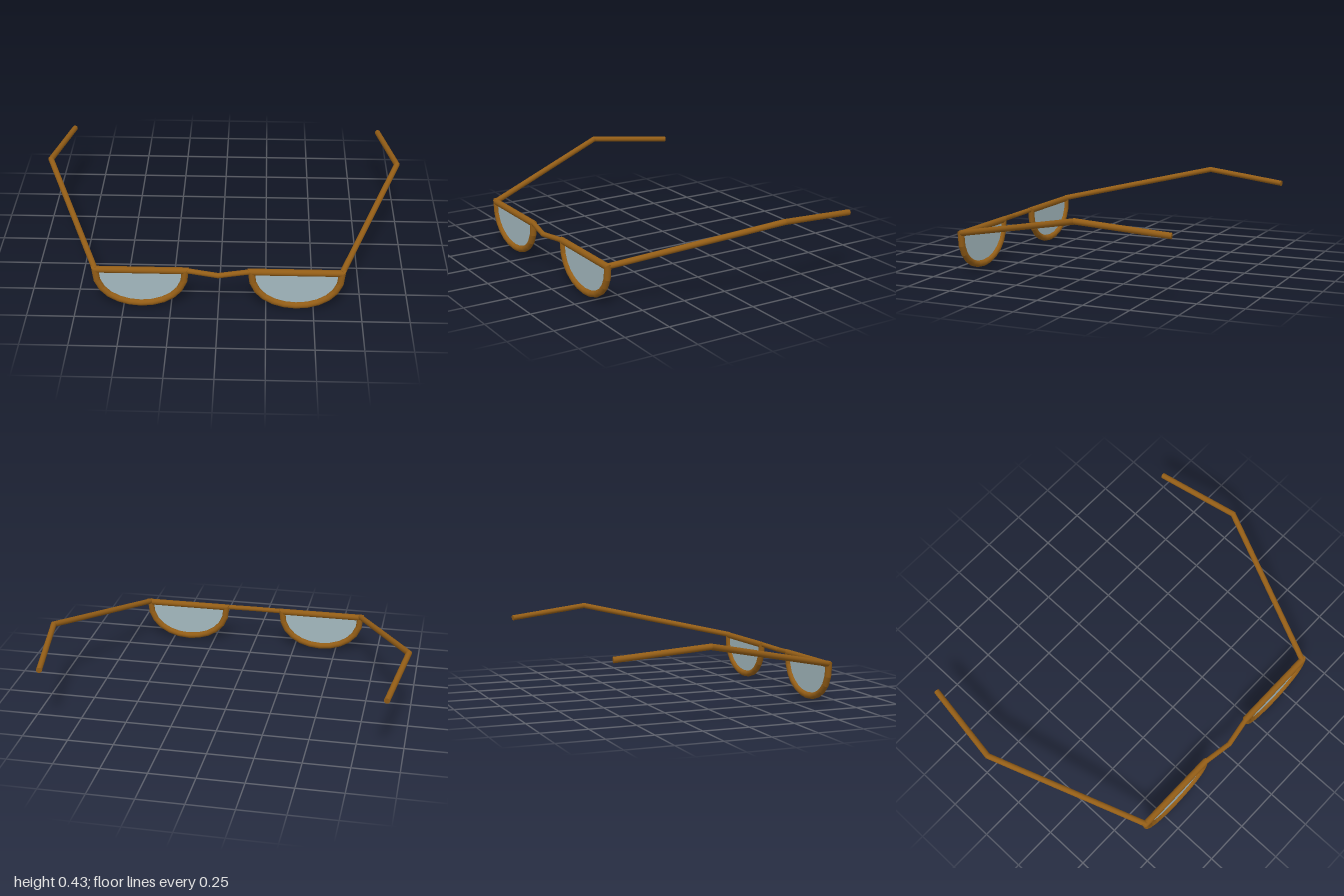
import * as THREE from 'three';

const frameMat = new THREE.MeshStandardMaterial({ color: 0x935d16 });
const lensMat = new THREE.MeshStandardMaterial({ color: 0xa3b8be, side: THREE.DoubleSide });
const V = (x, y, z) => new THREE.Vector3(x, y, z);

// Round rod along a polyline, with mitred corners and closed ends
function rod(points, radius, sides = 12) {
  const dirs = points.slice(1).map((p, i) => p.clone().sub(points[i]).normalize());
  const u = V(0, 1, 0).cross(dirs[0]);
  if (u.length() < 0.01) u.set(1, 0, 0);
  u.normalize();
  const v = dirs[0].clone().cross(u);
  let ring = [];
  for (let j = 0; j <= sides; j++) {
    const a = (j / sides) * Math.PI * 2;
    ring.push(points[0].clone().addScaledVector(u, Math.cos(a) * radius).addScaledVector(v, Math.sin(a) * radius));
  }
  const pos = [], norm = [], index = [];
  const add = (p, n) => { pos.push(p.x, p.y, p.z); norm.push(n.x, n.y, n.z); };
  const cap = (centre, edge, n, flip) => {
    const base = pos.length / 3;
    add(centre, n);
    edge.forEach((p) => add(p, n));
    for (let j = 1; j <= sides; j++) index.push(base, base + (flip ? j + 1 : j), base + (flip ? j : j + 1));
  };
  cap(points[0], ring, dirs[0].clone().negate(), true);
  dirs.forEach((d, i) => {
    // Slide the ring along the segment onto the mitre plane of the next corner
    const n = d.clone().add(dirs[i + 1] || d).normalize();
    const next = ring.map((p) => p.clone().addScaledVector(d, points[i + 1].clone().sub(p).dot(n) / d.dot(n)));
    const base = pos.length / 3;
    ring.forEach((p, j) => {
      const r = p.clone().sub(points[i]);
      r.addScaledVector(d, -r.dot(d)).normalize();
      add(p, r);
      add(next[j], r);
    });
    for (let j = 0; j < sides; j++) {
      const a = base + j * 2;
      index.push(a, a + 2, a + 1, a + 1, a + 2, a + 3);
    }
    ring = next;
  });
  cap(points[points.length - 1], ring, dirs[dirs.length - 1], false);
  const geo = new THREE.BufferGeometry();
  geo.setAttribute('position', new THREE.Float32BufferAttribute(pos, 3));
  geo.setAttribute('normal', new THREE.Float32BufferAttribute(norm, 3));
  geo.setIndex(index);
  return geo;
}

export function createModel() {
  const group = new THREE.Group();
  const part = (name, geo, mat) => {
    const mesh = new THREE.Mesh(geo, mat);
    mesh.name = name;
    group.add(mesh);
  };
  const cx = 0.408, top = 0.233, z = 0.637, rx = 0.236, ry = 0.205;

  for (const [side, s] of [['left', 1], ['right', -1]]) {
    // Half-moon outline, straight across the top
    const arc = [];
    for (let i = 0; i <= 12; i++) {
      const a = (i / 12) * Math.PI;
      arc.push(V(s * cx + Math.cos(a) * rx, top - Math.sin(a) ** 0.85 * ry, z));
    }
    const middle = V(s * cx, top, z);
    part(side + 'Rim', rod([middle, ...arc, middle], 0.018), frameMat);

    const lens = new THREE.ShapeGeometry(new THREE.Shape(arc.map((p) => new THREE.Vector2(p.x, p.y))));
    lens.translate(0, 0, z);
    part(side + 'Lens', lens, lensMat);

    // Temple arm: rises outward, then bends in behind the ear
    part(side + 'Temple', rod([V(s * 0.642, 0.236, 0.642), V(s * 0.981, 0.419, -0.2), V(s * 0.908, 0.371, -0.678)], 0.016), frameMat);
  }

  // Nose bridge, bent forward and slightly down
  part('bridge', rod([V(-0.18, 0.236, z), V(0, 0.225, 0.665), V(0.18, 0.236, z)], 0.014), frameMat);
  return group;
}
